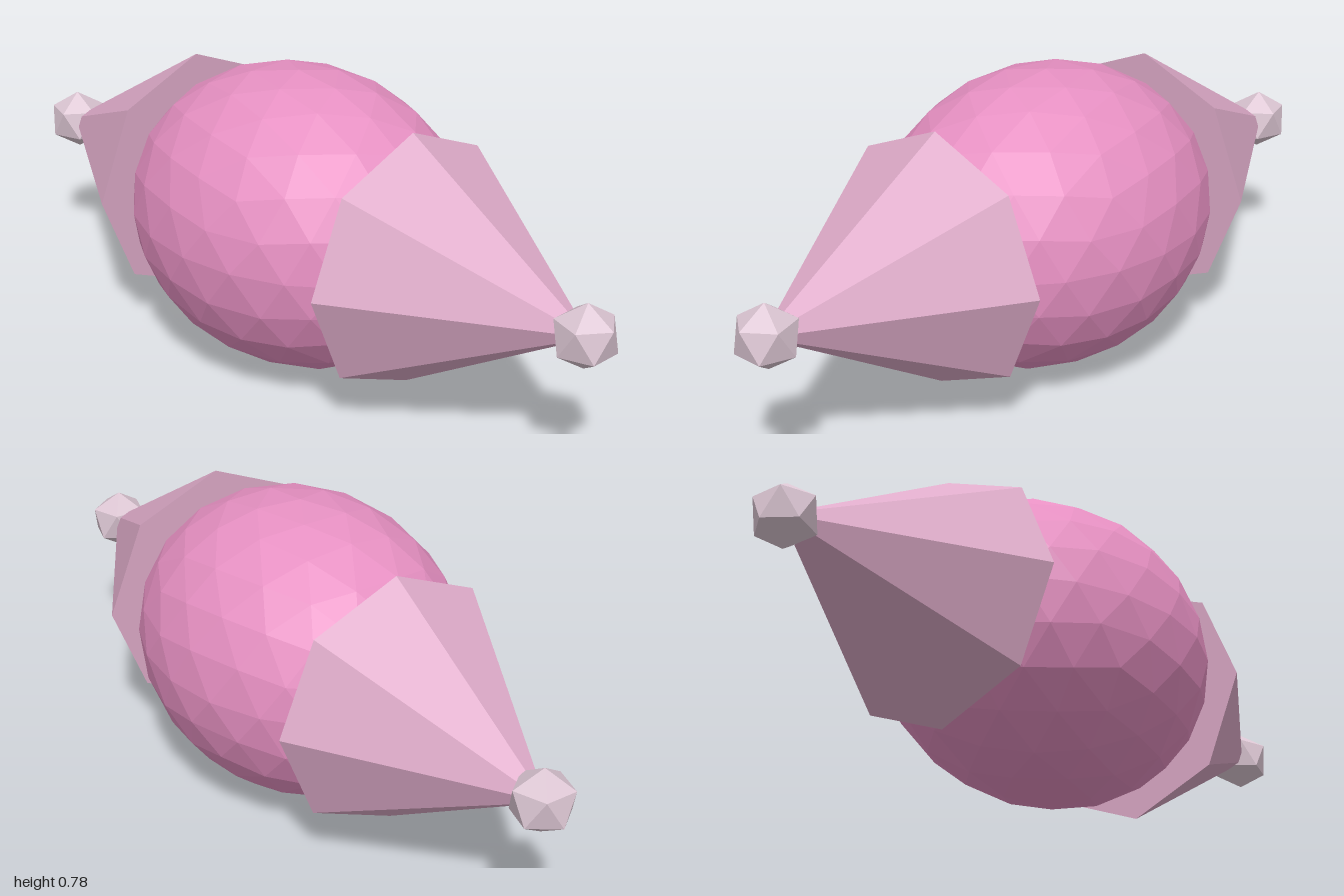
import * as THREE from 'three';

const CENTER_Y = 0.388;

const paint = (color) => new THREE.MeshStandardMaterial({ color, flatShading: true });

// Icosphere with a vertex at each pole; every level splits each triangle in four
function icosphere(radius, levels) {
  const base = new THREE.IcosahedronGeometry(1, 0);
  base.rotateX(-Math.atan2(1 + Math.sqrt(5), 2));
  base.rotateY(Math.PI / 2);
  const p = base.getAttribute('position');
  let points = [];
  for (let i = 0; i < p.count; i++) points.push(new THREE.Vector3().fromBufferAttribute(p, i));
  const mid = (a, b) => a.clone().add(b).normalize();
  for (let n = 0; n < levels; n++) {
    const next = [];
    for (let i = 0; i < points.length; i += 3) {
      const [a, b, c] = points.slice(i, i + 3);
      const ab = mid(a, b), bc = mid(b, c), ca = mid(c, a);
      next.push(a, ab, ca, ab, b, bc, ca, bc, c, ab, bc, ca);
    }
    points = next;
  }
  const geometry = new THREE.BufferGeometry().setFromPoints(points);
  geometry.scale(radius, radius, radius);
  geometry.computeVertexNormals();
  return geometry;
}

export function createModel() {
  const model = new THREE.Group();
  model.name = 'wrappedCandy';

  // Candy body, stretched along its length
  const bodyGeometry = icosphere(0.388, 2);
  bodyGeometry.scale(1.23, 1, 1);
  bodyGeometry.computeVertexNormals();
  const body = new THREE.Mesh(bodyGeometry, paint(0xe690c2));
  body.name = 'candyBody';
  body.position.y = CENTER_Y;
  model.add(body);

  const wrapperPaint = paint(0xddaac8);
  const knobPaint = paint(0xdcc6d3);

  for (const side of [1, -1]) {
    const name = side > 0 ? 'left' : 'right';

    // Eight-sided wrapper end: wide rim against the body, point outwards
    const length = 0.55;
    const cone = new THREE.ConeGeometry(0.332, length, 8);
    cone.rotateZ(-side * Math.PI / 2);
    const wrapper = new THREE.Mesh(cone, wrapperPaint);
    wrapper.name = name + 'WrapperEnd';
    wrapper.position.set(side * (0.39 + length / 2), CENTER_Y, 0);
    model.add(wrapper);

    // Small knob at the tip
    const knob = new THREE.Mesh(icosphere(0.0825, 0), knobPaint);
    knob.name = name + 'Knob';
    knob.position.set(side * 0.926, CENTER_Y, 0);
    model.add(knob);
  }
  return model;
}
